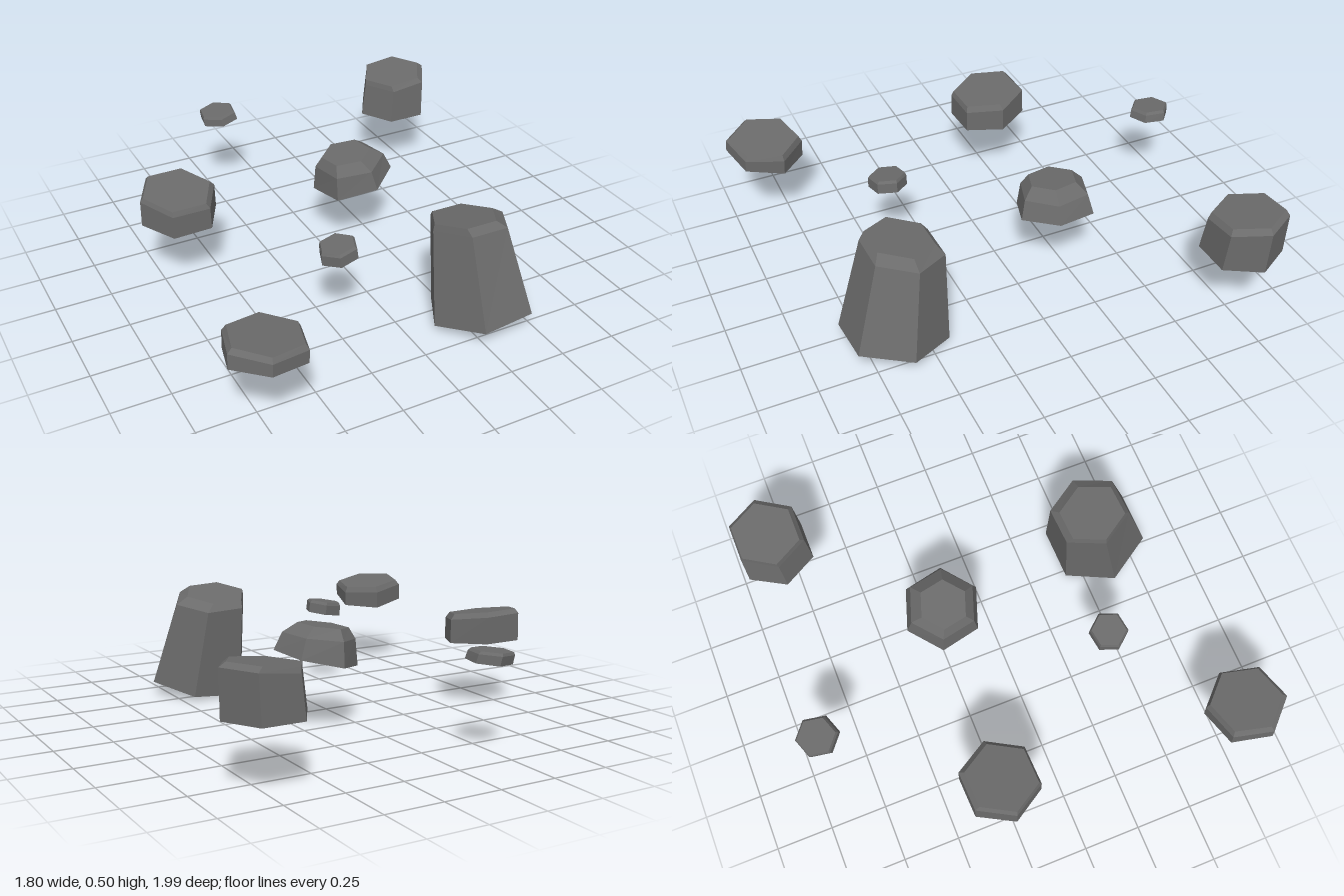
import * as THREE from 'three';

const SIDES = 6;

// Each ring: [centre x, y, z, radius, rise per x, rise per z], from base to shoulder to cap.
const ROCKS = [
  { name: 'largeTallRock', turn: -2, rings: [
    [0.347, 0.052, 0.62, 0.231, 0.093, 0.174],
    [0.307, 0.447, 0.547, 0.173, -0.03, 0.18],
    [0.283, 0.479, 0.547, 0.143, -0.03, 0.2]] },
  { name: 'backLeftRock', turn: 0, rings: [
    [0.722, 0.28, -0.81, 0.174, 0, 0],
    [0.735, 0.455, -0.815, 0.165, 0.12, -0.06],
    [0.724, 0.477, -0.82, 0.15, 0.11, -0.06]] },
  { name: 'middleRock', turn: 19, rings: [
    [0.172, 0.305, -0.212, 0.18, 0.23, 0.04],
    [0.157, 0.4, -0.212, 0.157, 0.14, 0],
    [0.137, 0.443, -0.212, 0.11, 0.15, 0]] },
  { name: 'backRightRock', turn: -2, rings: [
    [-0.655, 0.307, -0.265, 0.174, 0, -0.08],
    [-0.655, 0.417, -0.265, 0.172, -0.03, -0.15],
    [-0.66, 0.438, -0.26, 0.155, -0.02, -0.15]] },
  { name: 'frontRightRock', turn: -15, rings: [
    [-0.738, 0.332, 0.827, 0.17, -0.12, 0.17],
    [-0.734, 0.398, 0.823, 0.17, -0.13, 0.08],
    [-0.73, 0.42, 0.82, 0.153, -0.12, 0.05]] },
  { name: 'backPebble', turn: -20, rings: [
    [-0.2, 0.385, -0.902, 0.092, 0.1, 0.03],
    [-0.207, 0.42, -0.908, 0.09, 0.1, 0],
    [-0.21, 0.431, -0.91, 0.082, 0.1, 0]] },
  { name: 'frontPebble', turn: -10, rings: [
    [-0.222, 0.36, 0.414, 0.085, 0.15, 0.03],
    [-0.226, 0.405, 0.412, 0.084, 0.15, 0.03],
    [-0.228, 0.417, 0.41, 0.076, 0.14, 0]] },
];

// Stacks tilted hexagonal rings into a closed, faceted stone
function rockGeometry({ turn, rings }) {
  const positions = [];
  const index = [];
  for (const [cx, cy, cz, radius, riseX, riseZ] of rings) {
    for (let i = 0; i < SIDES; i++) {
      const angle = THREE.MathUtils.degToRad(turn) + (i / SIDES) * Math.PI * 2;
      const dx = Math.cos(angle) * radius;
      const dz = Math.sin(angle) * radius;
      positions.push(cx + dx, cy + dx * riseX + dz * riseZ, cz + dz);
    }
  }
  // Side faces between neighbouring rings
  for (let r = 0; r < rings.length - 1; r++) {
    for (let i = 0; i < SIDES; i++) {
      const a = r * SIDES + i;
      const b = r * SIDES + ((i + 1) % SIDES);
      index.push(a, a + SIDES, b, b, a + SIDES, b + SIDES);
    }
  }
  // Flat underside and cap
  const top = (rings.length - 1) * SIDES;
  for (let i = 1; i < SIDES - 1; i++) {
    index.push(0, i, i + 1);
    index.push(top, top + i + 1, top + i);
  }
  const indexed = new THREE.BufferGeometry();
  indexed.setAttribute('position', new THREE.Float32BufferAttribute(positions, 3));
  indexed.setIndex(index);
  const geometry = indexed.toNonIndexed();
  geometry.computeVertexNormals();
  return geometry;
}

export function createModel() {
  const group = new THREE.Group();
  group.name = 'floatingRocks';
  const stone = new THREE.MeshStandardMaterial({ color: 0x6b6b6b });
  stone.name = 'greyStone';
  for (const rock of ROCKS) {
    const mesh = new THREE.Mesh(rockGeometry(rock), stone);
    mesh.name = rock.name;
    group.add(mesh);
  }
  return group;
}
